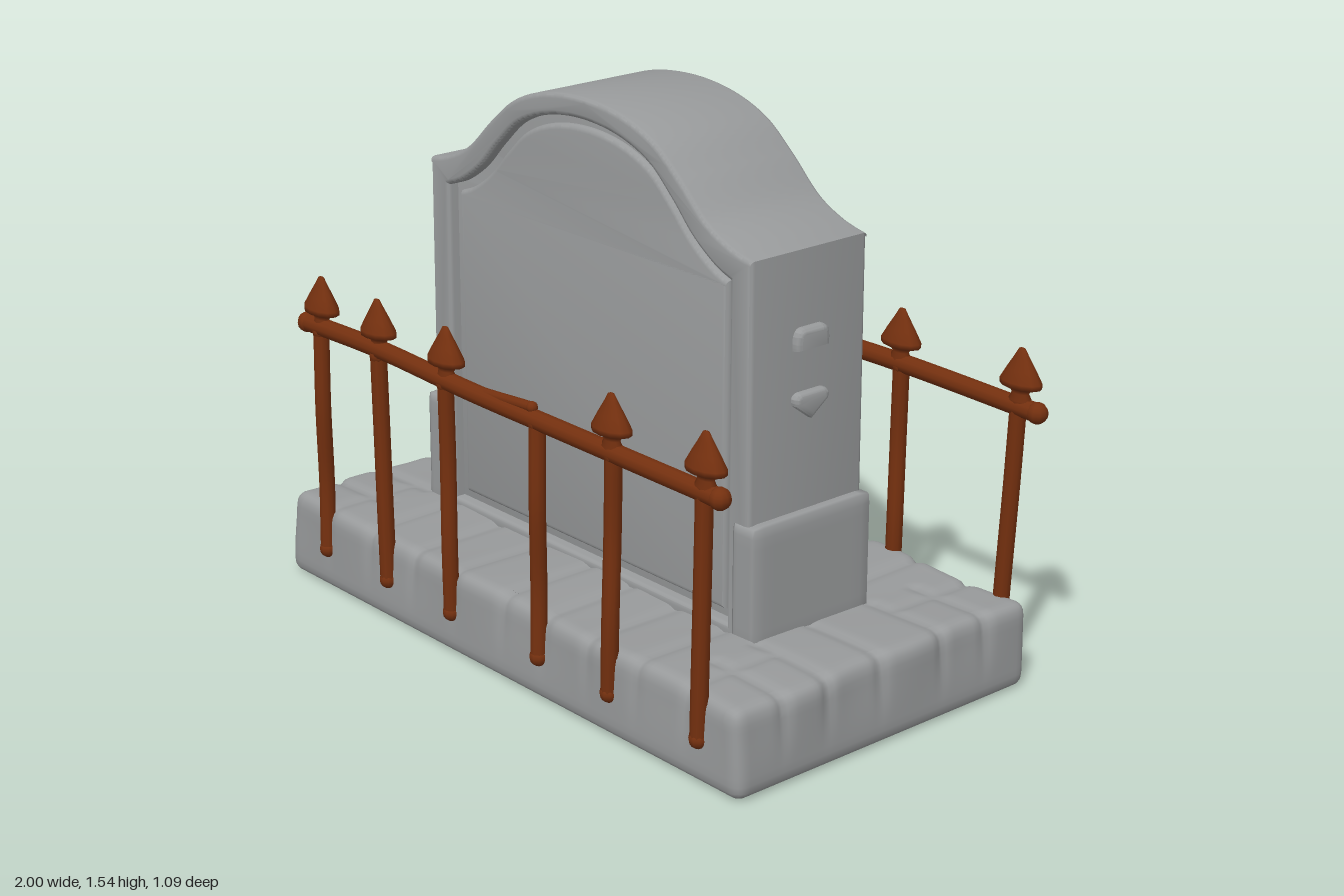
import * as THREE from 'three';
import { mergeVertices, toCreasedNormals } from 'three/addons/utils/BufferGeometryUtils.js';

const stone = new THREE.MeshStandardMaterial({ color: 0x989a9b });
stone.name = 'grey stone';
const rust = new THREE.MeshStandardMaterial({ color: 0x74300f });
rust.name = 'rusty iron';

function add(parent, name, geometry, material, x = 0, y = 0, z = 0) {
  const mesh = new THREE.Mesh(geometry, material);
  mesh.name = name;
  mesh.position.set(x, y, z);
  parent.add(mesh);
  return mesh;
}

// Symmetric arched outline: half is a list of [x, y] from the shoulder to the crown
function archShape(bottomX, bottomY, half) {
  const right = half.map(([x, y]) => new THREE.Vector2(x, y));
  const left = half.slice(0, -1).reverse().map(([x, y]) => new THREE.Vector2(-x, y));
  const s = new THREE.Shape();
  s.moveTo(-bottomX, bottomY);
  s.lineTo(bottomX, bottomY);
  s.lineTo(right[0].x, right[0].y);
  s.splineThru([...right.slice(1), ...left]);
  s.closePath();
  return s;
}

// Bevelled slab of the given full thickness, centred on z = 0
function slab(shape, thickness, bevel) {
  const g = new THREE.ExtrudeGeometry(shape, {
    depth: thickness - 2 * bevel, bevelThickness: bevel, bevelSize: bevel,
    bevelOffset: -bevel, bevelSegments: 3, curveSegments: 48,
  });
  g.translate(0, 0, -thickness / 2 + bevel);
  return toCreasedNormals(g, 0.6);
}

// Rounded block whose surface can be worn by a rule acting on each point
function wornBlock(w, h, d, r, segs, wear) {
  const g = new THREE.BoxGeometry(w, h, d, ...segs);
  const half = new THREE.Vector3(w / 2 - r, h / 2 - r, d / 2 - r);
  const low = half.clone().negate();
  const p = new THREE.Vector3(), core = new THREE.Vector3();
  const pos = g.attributes.position;
  for (let i = 0; i < pos.count; i++) {
    p.fromBufferAttribute(pos, i);
    core.copy(p).clamp(low, half);
    p.sub(core).setLength(r).add(core);
    if (wear) wear(p);
    pos.setXYZ(i, p.x, p.y, p.z);
  }
  g.deleteAttribute('uv');
  g.deleteAttribute('normal');
  const merged = mergeVertices(g, 1e-4);
  merged.computeVertexNormals();
  return merged;
}

// Shallow joints between paving stones, deeper where the stones are chipped
const jointsX = [-0.76, -0.57, -0.37, -0.18, 0.03, 0.2, 0.38, 0.57, 0.76];
const jointsZ = [-0.36, -0.2, 0.02, 0.21, 0.36];
const nearest = (v, list) => Math.min(...list.map((j) => Math.abs(v - j)));
const groove = (d) => Math.exp(-((d / 0.018) ** 2));

function wearBase(p) {
  const { x, y, z } = p;
  const up = THREE.MathUtils.smoothstep(y, -0.08, 0.12);
  const alongX = Math.abs(z) > 0.2 ? groove(nearest(x, jointsX)) : 0;
  const alongZ = Math.abs(x) > 0.68 ? groove(nearest(z, jointsZ)) : 0;
  if (y > 0.08) p.y += 0.004 * Math.sin(9 * x + 5 * z) - 0.009 * Math.max(alongX, alongZ);
  if (Math.abs(x) > 0.9) p.x -= Math.sign(x) * up * (0.012 * alongZ + 0.006 * (1 + Math.sin(17 * z)));
  if (Math.abs(z) > 0.47) p.z -= Math.sign(z) * up * (0.008 * alongX + 0.005 * (1 + Math.sin(11 * x)));
}

// Iron bar swept along points, with rounded ends
function bar(parent, name, points, r) {
  const pts = points.map((p) => new THREE.Vector3(...p));
  const group = new THREE.Group();
  group.name = name;
  add(group, 'shaft', new THREE.TubeGeometry(new THREE.CatmullRomCurve3(pts), 24, r, 10), rust);
  for (const p of [pts[0], pts[pts.length - 1]]) {
    add(group, 'end', new THREE.SphereGeometry(r * 1.12, 10, 8), rust, p.x, p.y, p.z);
  }
  parent.add(group);
}

// Spearhead: collar, narrow neck, wide barb and blunt tip, flattened front to back
const spearProfile = [[0, -0.02], [0.032, -0.01], [0.036, 0.012], [0.026, 0.03], [0.034, 0.042],
  [0.064, 0.05], [0.064, 0.064], [0.045, 0.095], [0.022, 0.13], [0.01, 0.15], [0, 0.153]];
const spearGeometry = new THREE.LatheGeometry(spearProfile.map((p) => new THREE.Vector2(...p)), 12);

// One fence: each post is [top x, bottom x]
function fence(name, z, rail, posts, spears) {
  const group = new THREE.Group();
  group.name = name;
  bar(group, 'rail', rail.map(([x, y]) => [x, y, z]), 0.026);
  posts.forEach(([top, bottom], i) => {
    const bend = 0.008 * Math.sin(i * 2.3 + 1);
    bar(group, 'post', [
      [top, 0.78, z], [top + (bottom - top) * 0.3 + bend, 0.56, z + bend],
      [bottom + (top - bottom) * 0.3 - bend, 0.32, z - bend], [bottom, 0.125, z],
    ], 0.023);
  });
  for (const [x, tilt] of spears) {
    const spear = add(group, 'spearhead', spearGeometry, rust, x, 0.788, z);
    spear.scale.z = 0.62;
    spear.rotation.z = tilt;
  }
  return group;
}

export function createModel() {
  const model = new THREE.Group();
  model.name = 'fencedGravestone';

  // Paved base
  add(model, 'base', wornBlock(1.92, 0.245, 1.04, 0.035, [128, 12, 72], wearBase), stone, 0, 0.1225, -0.01);

  // Headstone: outer frame with a moulded, recessed panel on both faces
  const headstone = new THREE.Group();
  headstone.name = 'headstone';
  model.add(headstone);
  const outer = archShape(0.655, 0.22, [[0.65, 1.25], [0.57, 1.27], [0.48, 1.315], [0.38, 1.405],
    [0.28, 1.48], [0.15, 1.525], [0, 1.54]]);
  const opening = [[0.572, 1.185], [0.51, 1.21], [0.43, 1.265], [0.35, 1.345], [0.26, 1.42],
    [0.14, 1.465], [0, 1.48]];
  const inner = opening.map(([x, y]) => [x * 0.95, 0.85 + (y - 0.85) * 0.962]);
  outer.holes.push(archShape(0.572, 0.262, opening));
  add(headstone, 'frame', slab(outer, 0.4, 0.014), stone);
  const backing = opening.map(([x, y]) => [x * 1.02, y + 0.012]);
  add(headstone, 'core', slab(archShape(0.583, 0.24, backing), 0.33, 0.002), stone);
  add(headstone, 'panel', slab(archShape(0.543, 0.285, inner), 0.362, 0.015), stone);

  // Shoulder blocks and carved bosses on each side
  const pill = new THREE.Shape();
  pill.moveTo(-0.056, -0.028);
  pill.lineTo(0.056, -0.028);
  pill.quadraticCurveTo(0.062, 0.03, 0.03, 0.03);
  pill.lineTo(-0.03, 0.03);
  pill.quadraticCurveTo(-0.062, 0.03, -0.056, -0.028);
  const drop = new THREE.Shape();
  drop.moveTo(0, -0.04);
  drop.lineTo(0.056, 0.002);
  drop.quadraticCurveTo(0.066, 0.03, 0.04, 0.034);
  drop.lineTo(-0.04, 0.034);
  drop.quadraticCurveTo(-0.066, 0.03, -0.056, 0.002);
  drop.closePath();
  for (const side of [-1, 1]) {
    add(headstone, 'sideBlock', wornBlock(0.09, 0.34, 0.41, 0.012, [8, 12, 12]), stone, side * 0.64, 0.385, 0);
    for (const [shape, y] of [[pill, 1.018], [drop, 0.843]]) {
      const boss = add(headstone, 'sideBoss', slab(shape, 0.06, 0.014), stone, side * 0.645, y, 0);
      boss.rotation.y = side * Math.PI / 2;
    }
  }

  // Front fence, with one post missing its spearhead
  const front = fence('frontFence', 0.505,
    [[-0.83, 0.79], [-0.5, 0.798], [-0.1, 0.787], [0.3, 0.785], [0.88, 0.782]],
    [[-0.765, -0.77], [-0.495, -0.48], [-0.195, -0.19], [0.19, 0.185], [0.49, 0.47], [0.825, 0.81]],
    [[-0.76, -0.03], [-0.49, 0.03], [-0.19, 0], [0.485, 0.02], [0.83, 0]]);
  bar(front, 'railSplinter', [[-0.45, 0.808, 0.505], [-0.1, 0.797, 0.505], [0.17, 0.815, 0.505]], 0.014);
  model.add(front);

  // Back fence, with one spearhead slipped along the rail
  model.add(fence('backFence', -0.51,
    [[-0.97, 0.78], [-0.5, 0.786], [0, 0.78], [0.5, 0.786], [0.97, 0.778]],
    [[-0.9, -0.87], [-0.48, -0.49], [-0.18, -0.185], [0.2, 0.19], [0.485, 0.475], [0.905, 0.87]],
    [[-0.92, 0.02], [-0.69, -0.04], [-0.2, 0.02], [0.2, 0], [0.48, -0.02], [0.91, 0]]));

  return model;
}
